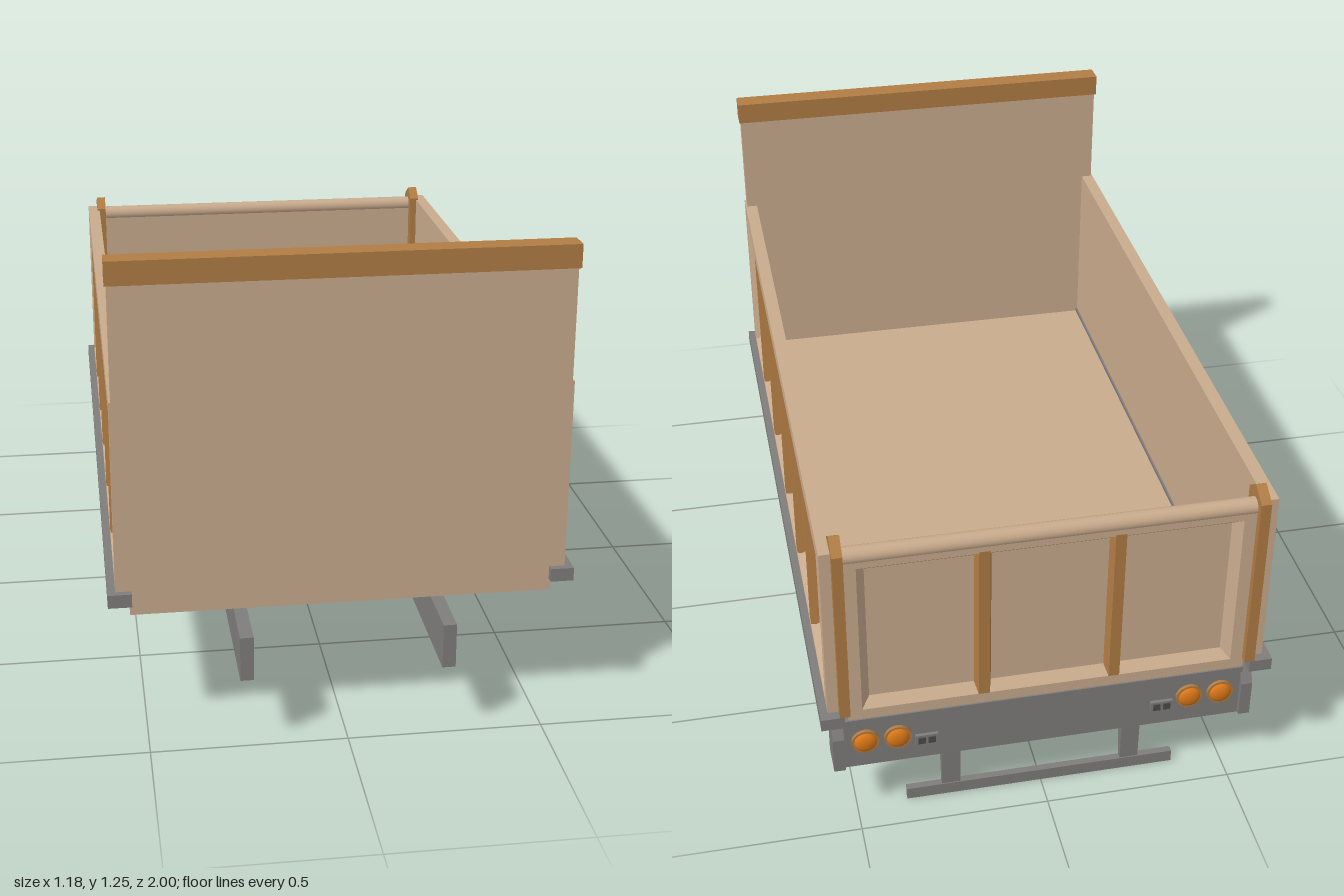
import * as THREE from 'three';

const mat = (name, color, side = THREE.FrontSide) => {
  const m = new THREE.MeshStandardMaterial({ color, side });
  m.name = name;
  return m;
};

export function createModel() {
  const model = new THREE.Group();
  model.name = 'dumpBody';
  const tan = mat('tanPaint', 0xc9ab8d);
  const brown = mat('brownTrim', 0xb07c44);
  const grey = mat('greySteel', 0x807d7c);
  const dark = mat('darkGrey', 0x4c4a4a);
  const amber = mat('amberLamp', 0xdc7818);

  const add = (name, geo, material, parent = model) => {
    const mesh = new THREE.Mesh(geo, material);
    mesh.name = name;
    parent.add(mesh);
    return mesh;
  };
  // Box given by its minimum and maximum on each axis
  const box = (name, material, [x0, x1], [y0, y1], [z0, z1], parent = model) => {
    const mesh = add(name, new THREE.BoxGeometry(x1 - x0, y1 - y0, z1 - z0), material, parent);
    mesh.position.set((x0 + x1) / 2, (y0 + y1) / 2, (z0 + z1) / 2);
    return mesh;
  };
  const extrude = (pts, depth) => new THREE.ExtrudeGeometry(
    new THREE.Shape(pts.map(([x, y]) => new THREE.Vector2(x, y))), { depth, bevelEnabled: false });
  // Profile of (z, y) points extruded along x from x0 to x1
  const sideProfile = (name, material, pts, x0, x1) => {
    const geo = extrude(pts.map(([z, y]) => [-z, y]), x1 - x0);
    geo.rotateY(Math.PI / 2);
    geo.translate(x0, 0, 0);
    return add(name, geo, material);
  };

  // Wall with a bevelled recess in its +z face, made of nested rectangular rings
  function recessedPanel([x0, x1], [y0, y1], thick, recess, margin, bevel) {
    const [l, r, b, t] = margin;
    const ring = (a, c, d, e, z) => [[a, d, z], [c, d, z], [c, e, z], [a, e, z]];
    const rings = [
      ring(x0, x1, y0, y1, 0),
      ring(x0, x1, y0, y1, thick),
      ring(x0 + l, x1 - r, y0 + b, y1 - t, thick),
      ring(x0 + l + bevel, x1 - r - bevel, y0 + b + bevel, y1 - t - bevel, thick - recess),
    ];
    const pos = [];
    const quad = (a, b2, c, d) => pos.push(...a, ...b2, ...c, ...a, ...c, ...d);
    for (let k = 0; k < 3; k++) {
      for (let i = 0; i < 4; i++) {
        const j = (i + 1) % 4;
        quad(rings[k][i], rings[k][j], rings[k + 1][j], rings[k + 1][i]);
      }
    }
    quad(...rings[3]);
    quad(...[...rings[0]].reverse());
    const geo = new THREE.BufferGeometry();
    geo.setAttribute('position', new THREE.Float32BufferAttribute(pos, 3));
    geo.computeVertexNormals();
    return geo;
  }
  // Tapered upright rib, its back at z = 0
  const ribGeometry = (height, depth) => {
    const geo = extrude([[-0.022, 0], [0.022, 0], [0.014, -depth], [-0.014, -depth]].reverse(), height);
    return geo.rotateX(-Math.PI / 2);
  };

  // Floor
  box('bedFloor', tan, [-0.535, 0.535], [0.335, 0.39], [-0.93, 0.86]);

  // Tall front wall, notched over the side rails
  const half = [[0.535, 0.335], [0.535, 0.4], [0.57, 0.4], [0.57, 0.9], [0.565, 0.9], [0.565, 1.2]];
  const outline = [...half, ...half.map(([x, y]) => [-x, y]).reverse()];
  add('frontWall', extrude(outline, 0.047), tan).position.z = 0.855;
  box('frontWallCap', brown, [-0.57, 0.57], [1.19, 1.25], [0.85, 0.91]);

  for (const s of [1, -1]) {
    const span = (a, b) => (s > 0 ? [a, b] : [-b, -a]);

    // Side wall: local x runs along the body, local z points outward
    const side = new THREE.Group();
    side.name = s > 0 ? 'leftWall' : 'rightWall';
    side.rotation.y = s * Math.PI / 2;
    side.position.x = s * 0.535;
    model.add(side);
    const along = s > 0 ? [-0.86, 0.975] : [-0.975, 0.86];
    const margin = s > 0 ? [0.01, 0.045, 0.01, 0.045] : [0.045, 0.01, 0.01, 0.045];
    add('sidePanel', recessedPanel(along, [0.4, 0.9], 0.035, 0.022, margin, 0.018), tan, side);
    for (const z of [0.58, 0.27, -0.04, -0.325, -0.635]) {
      add('sideRib', ribGeometry(0.435, 0.022), brown, side).position.set(-s * z, 0.42, 0.013);
    }

    // Grey rail below the wall
    box('sideRail', grey, span(0.53, 0.59), [0.365, 0.4], [-1, 0.92]);

    // Tailgate post with a peaked top
    const [p0, p1] = span(0.515, 0.542);
    sideProfile('tailgatePost', brown,
      [[-0.91, 0.39], [-0.91, 0.905], [-0.95, 0.935], [-1, 0.905], [-1, 0.4]].reverse(), p0, p1);

    // Chassis rail
    box('chassisRail', grey, span(0.238, 0.272), [0.185, 0.303], [-0.88, 1]);

    // Bumper end with a sloped back corner
    const [e0, e1] = span(0.53, 0.56);
    sideProfile('bumperEnd', grey,
      [[-0.87, 0.175], [-0.87, 0.335], [-0.935, 0.335], [-0.96, 0.285], [-0.96, 0.18]].reverse(), e0, e1);

    // Underrun bar post, tapering downward
    const [u0, u1] = span(0.22, 0.27);
    sideProfile('underrunPost', grey,
      [[-0.9, 0.02], [-0.877, 0.18], [-0.917, 0.18], [-0.914, 0.02]].reverse(), u0, u1);

    // Rear lamps
    for (const x of [0.475, 0.39]) {
      const rim = add('lampRim', new THREE.CylinderGeometry(0.036, 0.036, 0.012, 20), brown);
      rim.rotation.x = Math.PI / 2;
      rim.position.set(s * x, 0.262, -0.948);
      const lens = add('lampLens', new THREE.SphereGeometry(0.03, 20, 12), amber);
      lens.scale.z = 0.45;
      lens.position.set(s * x, 0.262, -0.953);
    }
    // Small marker boxes beside the lamps
    box('markerBox', grey, span(0.285, 0.345), [0.225, 0.257], [-0.954, -0.94]);
    for (const x of [0.292, 0.319]) {
      box('markerFace', dark, span(x, x + 0.019), [0.231, 0.251], [-0.957, -0.953]);
    }
  }

  // Tailgate, facing backward
  const gate = new THREE.Group();
  gate.name = 'tailgate';
  gate.rotation.y = Math.PI;
  gate.position.z = -0.94;
  model.add(gate);
  add('gatePanel', recessedPanel([-0.518, 0.518], [0.37, 0.88], 0.04, 0.026,
    [0.035, 0.035, 0.03, 0.03], 0.022), tan, gate);
  const topRail = add('gateTopRail', new THREE.CylinderGeometry(0.023, 0.023, 1.036, 16), tan, gate);
  topRail.rotation.z = Math.PI / 2;
  topRail.position.set(0, 0.878, 0.019);
  for (const x of [-0.17, 0.17]) {
    add('gateRib', ribGeometry(0.455, 0.027), brown, gate).position.set(x, 0.4, 0.014);
  }

  // Bumper and underrun bar
  box('bumper', grey, [-0.535, 0.535], [0.175, 0.333], [-0.945, -0.872]);
  box('underrunBar', grey, [-0.365, 0.365], [0, 0.035], [-0.917, -0.898]);

  return model;
}
